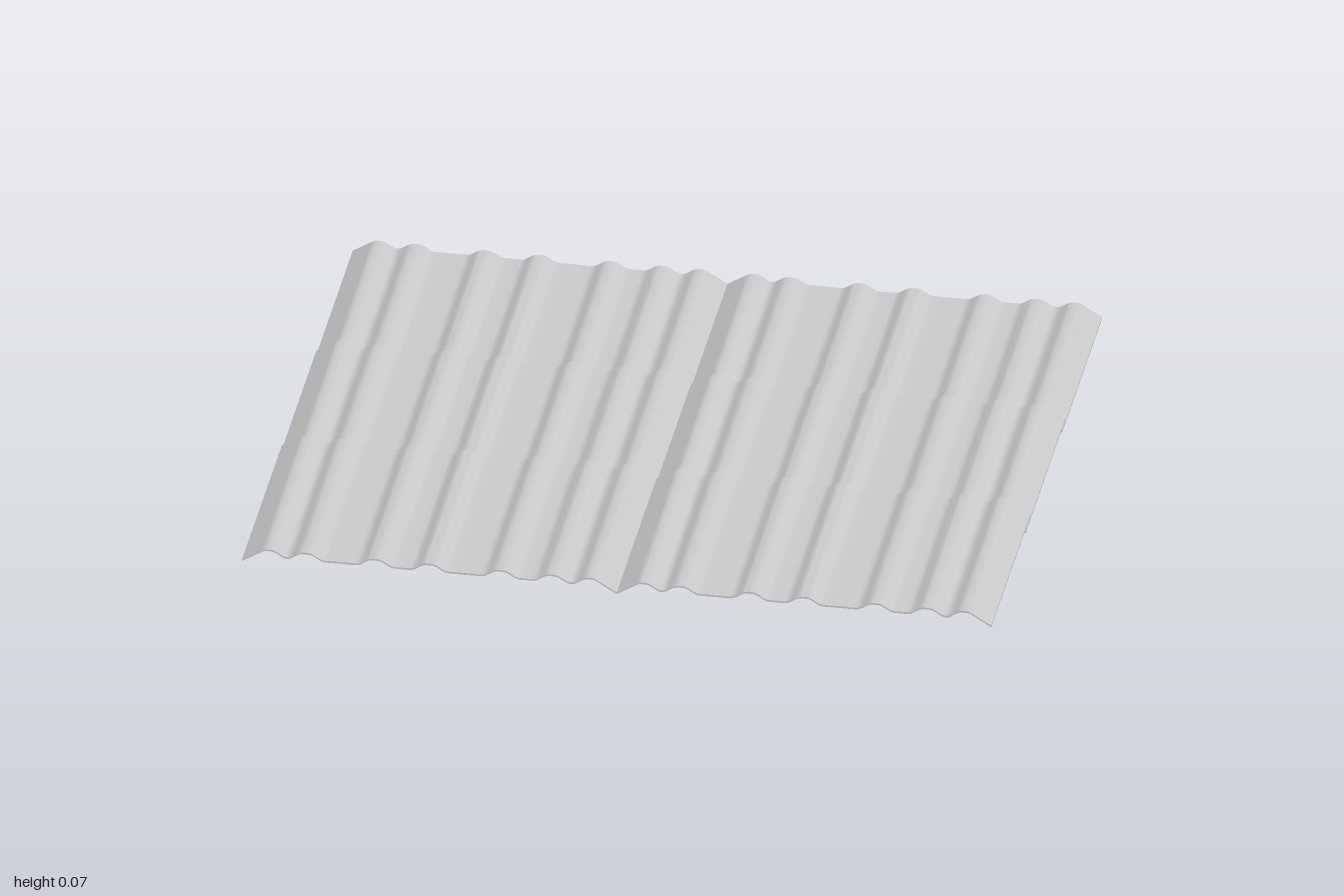
import * as THREE from 'three';
import { toCreasedNormals } from 'three/addons/utils/BufferGeometryUtils.js';

const LENGTH = 0.605, THICKNESS = 0.005;
const VALLEY = 0.018, CREST = 0.037;
const RIDGES = [-0.43, -0.33, -0.145, 0, 0.19, 0.327, 0.43];

// Underside height of the corrugated sheet at x (sheet is 1 unit wide)
function heightAt(x) {
  const d = Math.min(...RIDGES.map((r) => Math.abs(x - r)));
  const s = 1 - THREE.MathUtils.smoothstep(d, 0.008, 0.05);
  const wave = VALLEY + (CREST - VALLEY) * s;
  // outer flanges slope straight down to the seam
  return Math.abs(x) > 0.43 ? Math.min(CREST, (0.5 - Math.abs(x)) * 0.62) : wave;
}

// Thin corrugated section extruded along z
function sheetGeometry() {
  const n = 120, lower = [], upper = [];
  for (let i = 0; i <= n; i++) {
    const x = -0.5 + i / n, y = heightAt(x);
    lower.push(new THREE.Vector2(x, y));
    upper.unshift(new THREE.Vector2(x, y + THICKNESS));
  }
  const geometry = new THREE.ExtrudeGeometry(new THREE.Shape([...lower, ...upper]), {
    depth: LENGTH, bevelEnabled: false,
  });
  geometry.translate(0, 0, -LENGTH / 2);
  return toCreasedNormals(geometry, 0.5);
}

export function createModel() {
  const group = new THREE.Group();
  group.name = 'corrugatedRoof';
  const material = new THREE.MeshStandardMaterial({ color: 0xcccccc });
  const geometry = sheetGeometry();

  // Three overlapping rows, stepping up towards the front, two sheets each
  const rows = [
    { name: 'back', y: 0, z: -0.5375 },
    { name: 'middle', y: 0.012, z: 0.0165 },
    { name: 'front', y: 0.024, z: 0.5375 },
  ];
  for (const row of rows) {
    for (const [side, x] of [['Right', -0.5], ['Left', 0.5]]) {
      const sheet = new THREE.Mesh(geometry, material);
      sheet.name = `${row.name}${side}Sheet`;
      sheet.position.set(x, row.y, row.z);
      group.add(sheet);
    }
  }
  return group;
}
